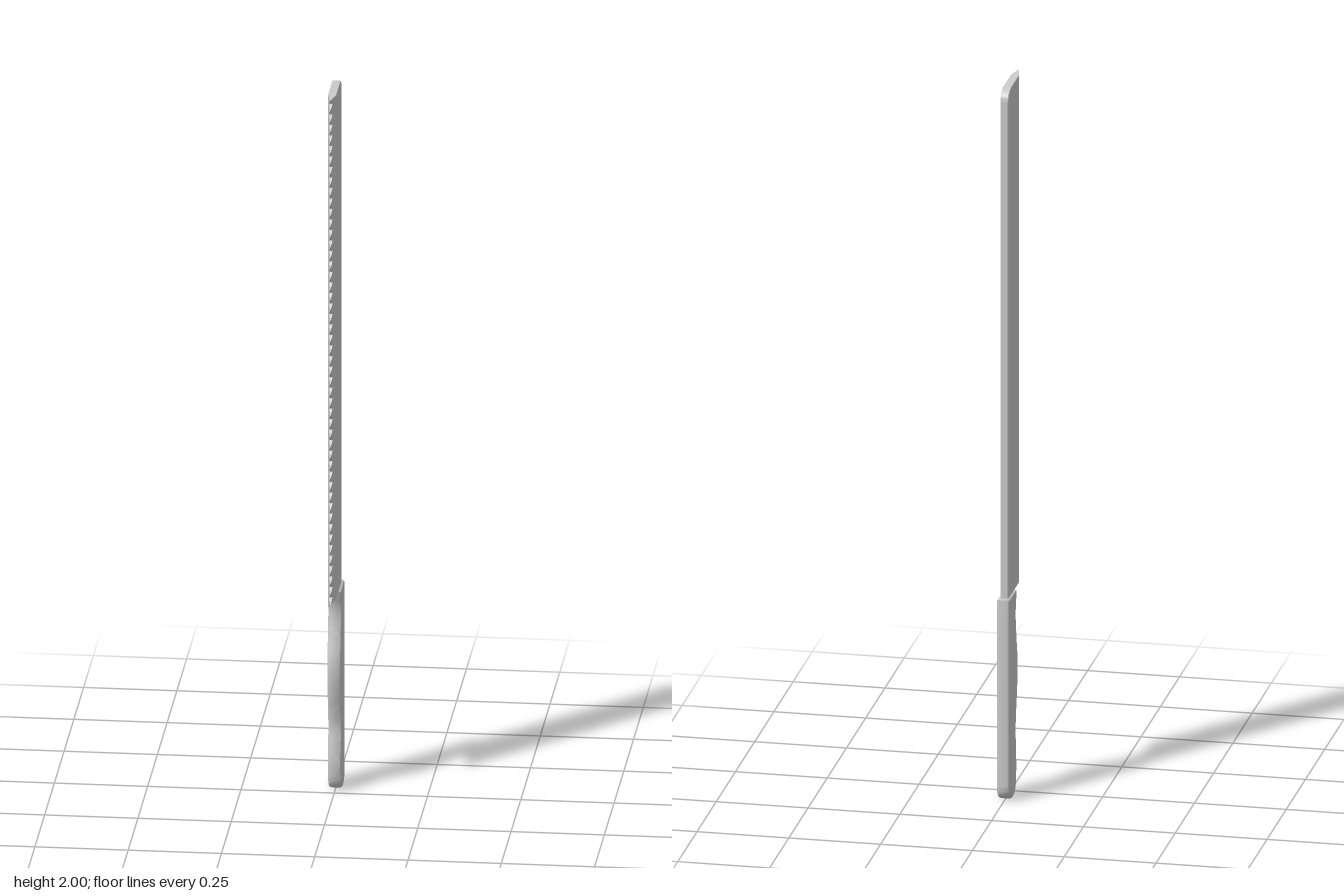
import * as THREE from 'three';
import { toCreasedNormals } from 'three/addons/utils/BufferGeometryUtils.js';

const material = new THREE.MeshStandardMaterial({ color: 0xcccccc });

// Blade: wedge cross-sections stacked along y, with a scalloped cutting edge
function bladeGeometry() {
  const y0 = 0.57, y1 = 2, teeth = 48, steps = 8, rows = teeth * steps;
  const half = 0.011, spineZ = -0.083, bevelZ = 0.055, tipZ = 0.1, r = 0.03, chamfer = 0.002;
  const position = [], index = [], n = 8;
  for (let j = 0; j <= rows; j++) {
    const y = y0 + (y1 - y0) * j / rows;
    const edge = tipZ - 0.016 * Math.sin(Math.PI * (j % steps) / steps);
    const t = Math.max(half * (tipZ - edge) / (tipZ - bevelZ), 0.0003);
    // rounded corner at the top of the spine
    const k = Math.max(0, y - (y1 - r));
    const back = spineZ + r - Math.sqrt(Math.max(0, r * r - k * k));
    const side = [[half - chamfer, back], [half, back + chamfer], [half, bevelZ], [t, edge]];
    const ring = [...side, ...side.slice().reverse().map(([x, z]) => [-x, z])];
    for (const [x, z] of ring) position.push(x, y, z);
  }
  for (let j = 0; j < rows; j++) {
    for (let i = 0; i < n; i++) {
      const a = j * n + i, b = j * n + (i + 1) % n, c = b + n, d = a + n;
      index.push(a, d, b, b, d, c);
    }
  }
  // end caps
  const top = rows * n;
  for (let i = 1; i < n - 1; i++) index.push(0, i, i + 1, top, top + i + 1, top + i);
  const g = new THREE.BufferGeometry();
  g.setAttribute('position', new THREE.Float32BufferAttribute(position, 3));
  g.setIndex(index);
  return toCreasedNormals(g, 0.6);
}

// Handle: side outline with finger grips, extruded across x with rounded edges
function handleGeometry() {
  const half = 0.0185, bevel = 0.008;
  const grip = [[0.012, 0.04], [0.009, 0.08], [0.013, 0.13], [0.018, 0.18], [0.011, 0.23],
    [0, 0.28], [-0.007, 0.33], [-0.006, 0.38], [0.005, 0.43], [0.015, 0.48], [0.016, 0.52], [0.004, 0.566]];
  const s = new THREE.Shape();
  s.moveTo(0.004, 0.57);
  s.lineTo(0.1, 0.57);
  s.lineTo(0.1, 0.045);
  s.bezierCurveTo(0.1, 0.02, 0.085, 0, 0.055, 0);
  s.bezierCurveTo(0.03, 0, 0.016, 0.012, grip[0][0], grip[0][1]);
  s.splineThru(grip.slice(1).map(([x, y]) => new THREE.Vector2(x, y)));
  s.closePath();
  const g = new THREE.ExtrudeGeometry(s, {
    depth: 2 * (half - bevel), curveSegments: 10,
    bevelThickness: bevel, bevelSize: bevel, bevelOffset: -bevel, bevelSegments: 4,
  });
  g.translate(0, 0, bevel - half);
  g.rotateY(Math.PI / 2);
  return toCreasedNormals(g, 0.7);
}

export function createModel() {
  const group = new THREE.Group();
  group.name = 'breadKnife';
  const add = (name, geometry) => {
    const mesh = new THREE.Mesh(geometry, material);
    mesh.name = name;
    group.add(mesh);
    return mesh;
  };
  add('blade', bladeGeometry());
  // centre the extrusion on x = 0
  const handle = add('handle', handleGeometry());
  handle.geometry.computeBoundingBox();
  const box = handle.geometry.boundingBox;
  handle.position.x = -(box.min.x + box.max.x) / 2;
  return group;
}
